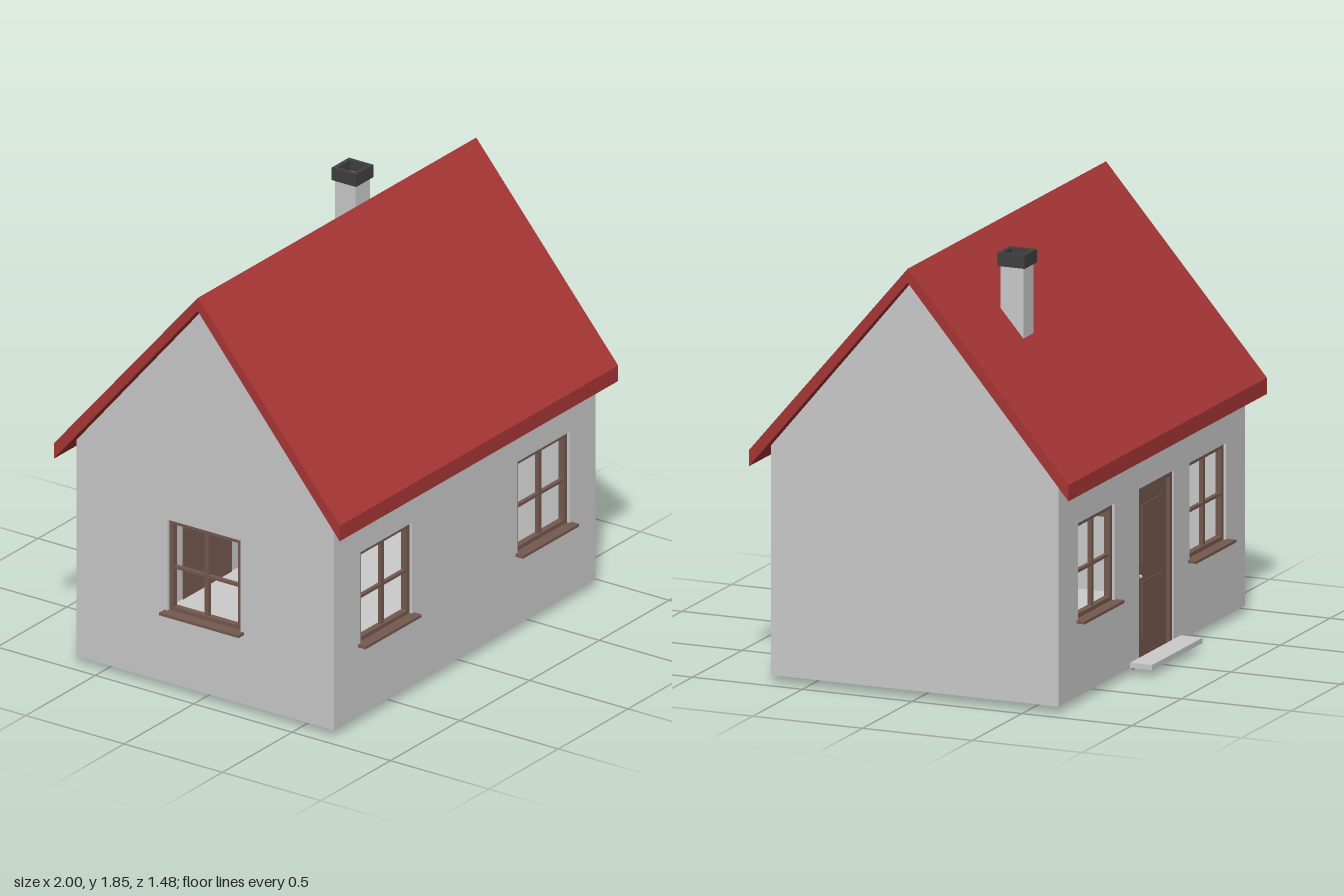
import * as THREE from 'three';

const T = 0.03; // wall thickness
const mat = (color) => new THREE.MeshStandardMaterial({ color, side: THREE.DoubleSide });

export function createModel() {
  const house = new THREE.Group();
  house.name = 'house';
  const grey = mat(0xcccccc), red = mat(0xa83636), brown = mat(0x755a4f), dark = mat(0x404040);

  const add = (parent, name, geometry, material) => {
    const mesh = new THREE.Mesh(geometry, material);
    mesh.name = name;
    parent.add(mesh);
    return mesh;
  };
  // Box given by its lower and upper corners
  const box = (parent, name, material, x0, x1, y0, y1, z0, z1) => {
    const mesh = add(parent, name, new THREE.BoxGeometry(x1 - x0, y1 - y0, z1 - z0), material);
    mesh.position.set((x0 + x1) / 2, (y0 + y1) / 2, (z0 + z1) / 2);
    return mesh;
  };
  const polygon = (points) => new THREE.Shape(points.map(([x, y]) => new THREE.Vector2(x, y)));
  const rectHole = (x0, x1, y0, y1) =>
    new THREE.Path([[x0, y0], [x1, y0], [x1, y1], [x0, y1]].map(([x, y]) => new THREE.Vector2(x, y)));

  const WIN = { half: 0.185, bottom: 0.355, top: 0.77 };

  // Recessed frame with cross bars and a projecting sill, in wall space (outside is +z)
  function addWindow(wall, cx) {
    const win = new THREE.Group();
    win.name = 'window';
    win.position.x = cx;
    wall.add(win);
    const { half: h, bottom: b, top: t } = WIN, f = 0.02, z0 = -0.04, z1 = -0.012;
    for (const s of [-1, 1]) {
      const a = s * h, c = s * (h - f);
      box(win, 'frameSide', brown, Math.min(a, c), Math.max(a, c), b, t, z0, z1);
    }
    box(win, 'frameTop', brown, -h, h, t - f, t, z0, z1);
    box(win, 'frameBottom', brown, -h, h, b, b + f, z0, z1);
    box(win, 'mullion', brown, -0.01, 0.01, b, t, -0.035, -0.018);
    box(win, 'crossBar', brown, -h, h, 0.547, 0.56, -0.035, -0.018);
    box(win, 'sill', brown, -h - 0.017, h + 0.017, 0.345, 0.357, -0.03, 0.038);
  }

  // Wall from an outline, pierced by windows, outer face on local z = 0
  function addWall(name, outline, windows, x, z, turn) {
    const wall = new THREE.Group();
    wall.name = name;
    const shape = polygon(outline);
    for (const cx of windows)
      shape.holes.push(rectHole(cx - WIN.half, cx + WIN.half, WIN.bottom, WIN.top));
    const geometry = new THREE.ExtrudeGeometry(shape, { depth: T, bevelEnabled: false });
    geometry.translate(0, 0, -T);
    add(wall, name + 'Panel', geometry, grey);
    windows.forEach((cx) => addWindow(wall, cx));
    wall.position.set(x, 0, z);
    wall.rotation.y = turn;
    house.add(wall);
    return wall;
  }

  // Walls; the back one has a notch for the door
  const D = { x0: -0.13, x1: 0.22, top: 0.775 };
  addWall('frontWall', [[-0.94, 0.03], [0.94, 0.03], [0.94, 1.01], [-0.94, 1.01]],
    [-0.565, 0.565], 0, 0.67, 0);
  const back = addWall('backWall', [
    [-0.94, 0.03], [D.x0, 0.03], [D.x0, D.top], [D.x1, D.top], [D.x1, 0.03],
    [0.94, 0.03], [0.94, 1.01], [-0.94, 1.01]],
    [-0.56, 0.565], 0, -0.64, Math.PI);
  addWall('gableWithWindow',
    [[-0.64, 0.03], [0.67, 0.03], [0.67, 1.012], [0.02, 1.789], [-0.64, 1.012]],
    [0.01], -0.94, 0, -Math.PI / 2);
  addWall('plainGable',
    [[-0.67, 0.03], [0.64, 0.03], [0.64, 1.012], [-0.02, 1.789], [-0.67, 1.012]],
    [], 0.94, 0, Math.PI / 2);

  // Floor
  box(house, 'floor', grey, -0.94, 0.94, 0.03, 0.034, -0.64, 0.67);

  // Door with frame, raised panels and handle, in back wall space
  const door = new THREE.Group();
  door.name = 'door';
  back.add(door);
  box(door, 'doorLeaf', brown, D.x0 + 0.02, D.x1 - 0.02, 0.03, D.top - 0.02, -0.035, -0.022);
  box(door, 'doorFrameSide', brown, D.x0, D.x0 + 0.022, 0.03, D.top, -0.035, -0.008);
  box(door, 'doorFrameSide', brown, D.x1 - 0.022, D.x1, 0.03, D.top, -0.035, -0.008);
  box(door, 'doorFrameTop', brown, D.x0, D.x1, D.top - 0.022, D.top, -0.035, -0.008);
  box(door, 'threshold', brown, D.x0, D.x1, 0, 0.05, -0.033, -0.025);
  for (const [y0, y1] of [[0.12, 0.36], [0.44, 0.69]])
    box(door, 'doorPanel', brown, D.x0 + 0.075, D.x1 - 0.075, y0, y1, -0.024, -0.018);
  const knob = add(door, 'doorKnob', new THREE.SphereGeometry(0.009, 12, 8), grey);
  knob.position.set(D.x0 + 0.04, 0.39, -0.012);

  // Doorstep
  box(house, 'doorstep', grey, -0.29, 0.22, 0.03, 0.053, -0.74, -0.64);

  // Roof: chevron profile swept along x (shape x runs along -z)
  const roofGeometry = new THREE.ExtrudeGeometry(polygon([
    [-0.742, 0.93], [-0.02, 1.79], [0.712, 0.93], [0.712, 1.0], [-0.02, 1.85], [-0.742, 1.0]]),
    { depth: 2, bevelEnabled: false });
  roofGeometry.translate(0, 0, -1);
  add(house, 'roof', roofGeometry, red).rotation.y = Math.PI / 2;

  // Chimney with an open collar on top
  const chimney = new THREE.Group();
  chimney.name = 'chimney';
  chimney.position.set(0.49, 0, -0.248);
  house.add(chimney);
  box(chimney, 'chimneyStack', grey, -0.052, 0.052, 1.45, 1.79, -0.052, 0.052);
  const ring = polygon([[-0.062, -0.062], [0.062, -0.062], [0.062, 0.062], [-0.062, 0.062]]);
  ring.holes.push(rectHole(-0.044, 0.044, -0.044, 0.044));
  const collar = add(chimney, 'chimneyCollar',
    new THREE.ExtrudeGeometry(ring, { depth: 0.057, bevelEnabled: false }), dark);
  collar.rotation.x = -Math.PI / 2;
  collar.position.y = 1.78;

  return house;
}
